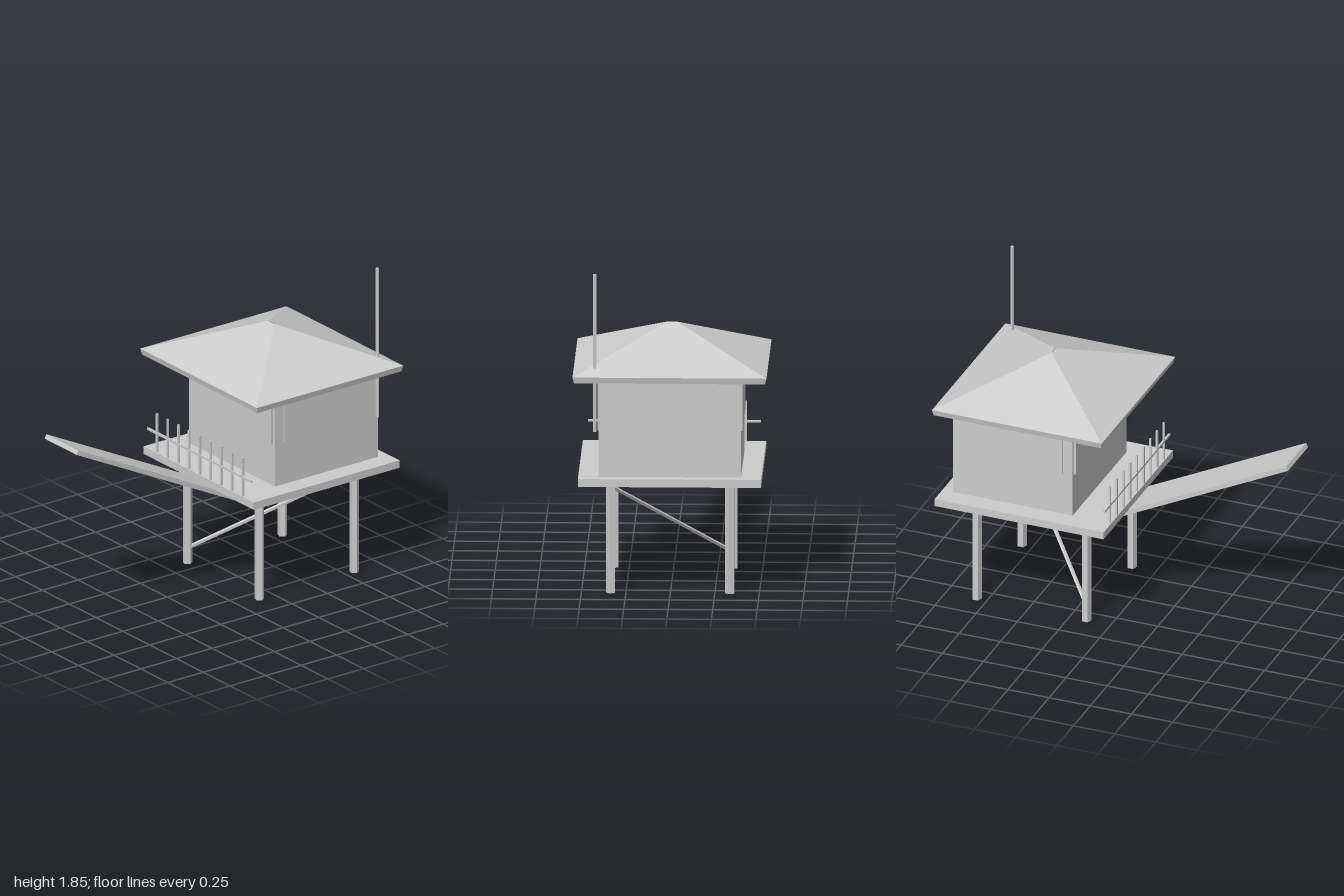
import * as THREE from 'three';

export function createModel() {
  const model = new THREE.Group();
  model.name = 'lookoutHut';
  const paleGrey = new THREE.MeshStandardMaterial({ color: 0xcccccc, flatShading: true, side: THREE.DoubleSide });
  paleGrey.name = 'paleGrey';

  const add = (name, geometry, x = 0, y = 0, z = 0) => {
    const mesh = new THREE.Mesh(geometry, paleGrey);
    mesh.name = name;
    mesh.position.set(x, y, z);
    model.add(mesh);
    return mesh;
  };
  const box = (name, w, h, d, x, y, z) => add(name, new THREE.BoxGeometry(w, h, d), x, y, z);

  // Five-sided pole between two points
  const pole = (name, radius, from, to) => {
    const a = new THREE.Vector3(...from), b = new THREE.Vector3(...to);
    const dir = b.clone().sub(a);
    const mesh = add(name, new THREE.CylinderGeometry(radius, radius, dir.length(), 5, 1, false, Math.PI / 2));
    mesh.position.copy(a).add(b).multiplyScalar(0.5);
    mesh.quaternion.setFromUnitVectors(new THREE.Vector3(0, 1, 0), dir.normalize());
  };

  const midZ = -0.483;

  // Legs and the single diagonal brace
  for (const x of [-0.336, 0.334])
    for (const z of [-0.147, -0.813])
      pole('leg', 0.0285, [x, 0, z], [x, 0.65, z]);
  pole('brace', 0.012, [-0.335, 0.09, -0.147], [0.335, 0.612, -0.813]);

  // Deck, cabin and shutters on the front and both sides
  box('deck', 1.03, 0.045, 1.025, 0, 0.668, midZ);
  box('cabin', 0.8, 0.55, 0.725, 0, 0.965, -0.568);
  box('frontShutter', 0.765, 0.27, 0.014, 0, 1.081, -0.2);
  for (const s of [-1, 1])
    box('sideShutter', 0.014, 0.27, 0.61, s * 0.4, 1.081, -0.573);

  // Front railing
  for (let i = -4; i <= 4; i++)
    box('railPost', 0.012, 0.235, 0.012, i * 0.1, 0.807, 0.02);
  box('handrail', 0.97, 0.013, 0.012, 0, 0.806, 0.02);

  // Tilted ramp board
  box('ramp', 0.3, 0.027, 1.385, 0, 0.804, 0.373).rotation.x = -0.4625;

  // Hollow hipped roof from rings of [half width, half depth, height]
  const rings = [[0.537, 0.507, 1.24], [0.545, 0.515, 1.275], [0.03, 0.001, 1.487]];
  const signs = [[1, 1], [1, -1], [-1, -1], [-1, 1]];
  const corner = (r, i) => {
    const [sx, sz] = signs[i % 4];
    return [sx * rings[r][0], rings[r][2], sz * rings[r][1]];
  };
  const points = [];
  for (let r = 0; r < rings.length - 1; r++)
    for (let i = 0; i < 4; i++) {
      const a = corner(r, i), b = corner(r, i + 1), c = corner(r + 1, i + 1), d = corner(r + 1, i);
      points.push(...a, ...b, ...c, ...a, ...c, ...d);
    }
  const roof = new THREE.BufferGeometry();
  roof.setAttribute('position', new THREE.Float32BufferAttribute(points, 3));
  roof.computeVertexNormals();
  add('roof', roof, 0, 0, midZ - 0.002);

  // Mast at the back corner
  pole('mast', 0.011, [0.422, 0.945, -0.909], [0.422, 1.85, -0.909]);

  return model;
}
